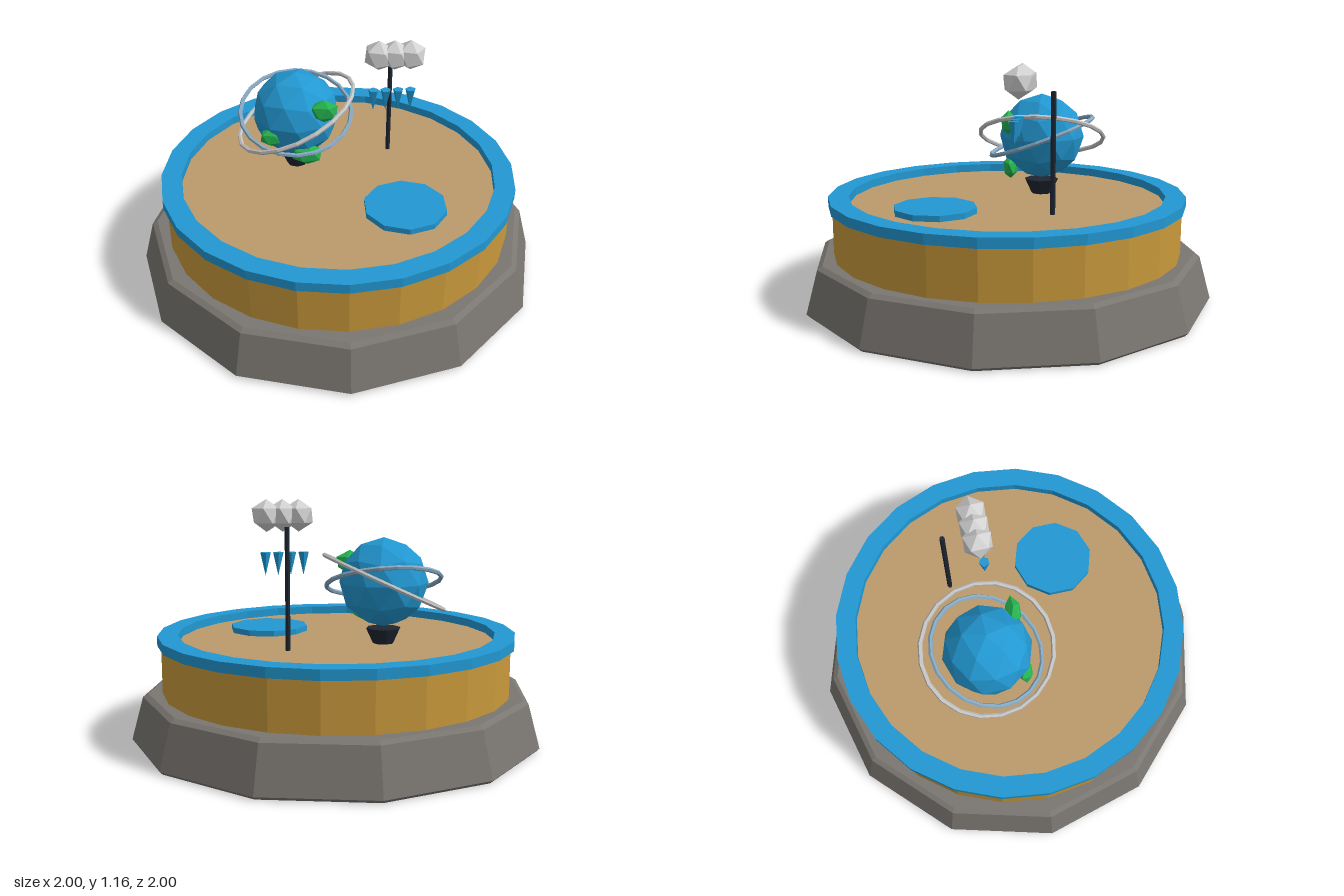
import * as THREE from 'three';

const flat = (name, color) => {
  const m = new THREE.MeshStandardMaterial({ color, flatShading: true });
  m.name = name;
  return m;
};

export function createModel() {
  const model = new THREE.Group();
  const stone = flat('stone grey', 0x7a7671);
  const gold = flat('gold', 0xc9993b);
  const blue = flat('water blue', 0x2298d2);
  const sand = flat('sand', 0xbc9a6c);
  const dark = flat('dark metal', 0x1f2632);
  const green = flat('land green', 0x25b450);
  const cloud = flat('cloud white', 0xd2d2d2);
  const silver = flat('silver', 0xc4c4c4);
  const steel = flat('steel blue', 0x86a8c2);

  const add = (name, geometry, material, x = 0, y = 0, z = 0, parent = model) => {
    const mesh = new THREE.Mesh(geometry, material);
    mesh.name = name;
    mesh.position.set(x, y, z);
    parent.add(mesh);
    return mesh;
  };
  const lathe = (points, sides) =>
    new THREE.LatheGeometry(points.map(([r, y]) => new THREE.Vector2(r, y)), sides);

  // Icosahedral ball standing on one of its corners
  const ball = (radius, detail) =>
    new THREE.IcosahedronGeometry(radius, detail)
      .rotateX(-Math.atan((1 + Math.sqrt(5)) / 2))
      .rotateY(Math.PI / 2);

  // Stepped plinth, drum, rim and floor
  add('plinth', lathe([[0, 0], [0.985, 0], [1, 0.015], [0.943, 0.222], [0.918, 0.237], [0, 0.237]], 12), stone);
  add('drum', new THREE.CylinderGeometry(0.85, 0.85, 0.235, 24), gold, 0, 0.352, 0);
  add('rim', lathe([[0.77, 0.468], [0.868, 0.468], [0.868, 0.515], [0.77, 0.515], [0.77, 0.468]], 24), blue);
  add('floor', new THREE.CylinderGeometry(0.78, 0.78, 0.008, 24), sand, 0, 0.47, 0);
  add('pool', new THREE.CylinderGeometry(0.198, 0.198, 0.03, 10), blue, 0.3, 0.487, 0.295);

  // Globe on its stand, with land masses
  const globe = new THREE.Group();
  globe.name = 'globe';
  globe.position.set(-0.2, 0.768, -0.15);
  model.add(globe);
  add('globeStand', new THREE.CylinderGeometry(0.085, 0.048, 0.08, 8), dark, 0, -0.26, 0, globe);
  add('ocean', ball(0.213, 1), blue, 0, 0, 0, globe);
  for (const [x, y, sx, sy] of [[0.133, 0.082, 0.075, 0.06], [0.05, -0.153, 0.082, 0.06], [-0.12, -0.053, 0.06, 0.05]]) {
    add('landMass', ball(1, 0), green, x, y, 0.152, globe).scale.set(sx, sy, 0.04);
  }

  // Two tilted rings around the globe
  const ring = (radius) => new THREE.TorusGeometry(radius, 0.011, 6, 20).rotateX(Math.PI / 2);
  add('outerRing', ring(0.312), silver, 0, 0, 0, globe).rotation.z = 0.436;
  add('innerRing', ring(0.274), steel, 0, 0, 0, globe).rotation.x = 0.36;

  // Weather display: pole, cloud and rain
  add('pole', new THREE.CylinderGeometry(0.012, 0.012, 0.57, 6), dark, 0.274, 0.755, -0.25);
  for (let i = 0; i < 3; i++) add('cloudPuff', ball(0.076, 0), cloud, 0.2 + i * 0.075, 1.085, -0.1);
  for (let i = 0; i < 4; i++) {
    add('raindrop', new THREE.ConeGeometry(0.026, 0.11, 5).rotateX(Math.PI), blue, 0.175 + i * 0.06, 0.857, -0.08);
  }
  return model;
}
